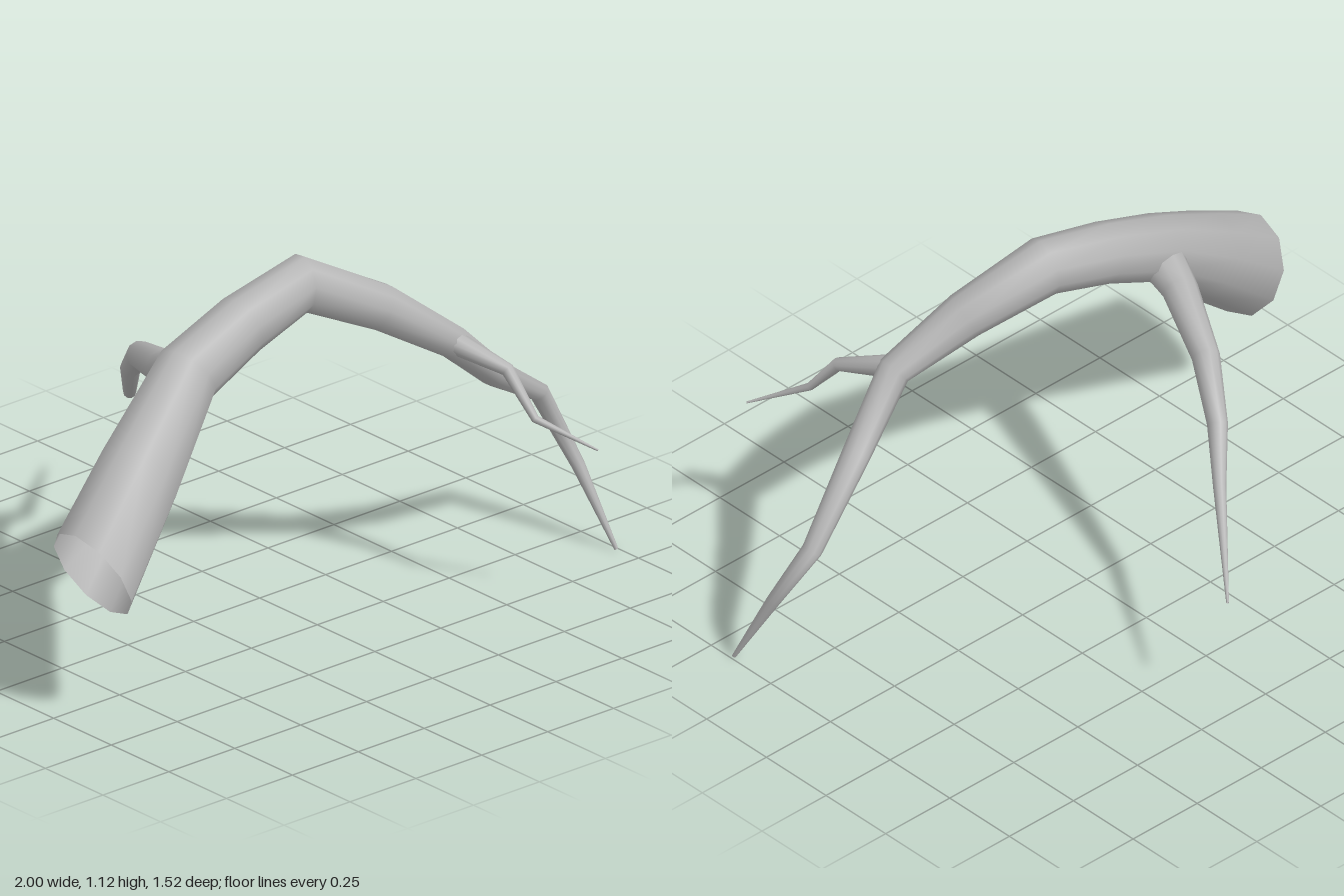
import * as THREE from 'three';

const SIDES = 10;

// Tapered limb: one ring per [x, y, z, radius], mitred at each bend.
function limbGeometry(rows, startDir) {
  const pts = rows.map(([x, y, z]) => new THREE.Vector3(x, y, z));
  const last = pts.length - 1;
  const dirs = pts.slice(1).map((p, i) => p.clone().sub(pts[i]).normalize());
  const positions = [];
  const indices = [];
  const up = new THREE.Vector3(0, 1, 0);

  pts.forEach((p, i) => {
    const t = i === 0 ? startDir.clone()
      : i === last ? dirs[last - 1].clone()
      : dirs[i - 1].clone().add(dirs[i]);
    t.normalize();
    // carry the ring frame along the limb without twisting
    const u = up.clone().addScaledVector(t, -up.dot(t)).normalize();
    const v = t.clone().cross(u);
    up.copy(u);
    for (let j = 0; j < SIDES; j++) {
      const a = (j / SIDES) * Math.PI * 2;
      const q = p.clone()
        .addScaledVector(u, Math.cos(a) * rows[i][3])
        .addScaledVector(v, Math.sin(a) * rows[i][3]);
      positions.push(q.x, q.y, q.z);
    }
  });

  for (let i = 0; i < last; i++) {
    for (let j = 0; j < SIDES; j++) {
      const k = (j + 1) % SIDES;
      const a = i * SIDES + j, b = i * SIDES + k;
      indices.push(a, b, a + SIDES, b, b + SIDES, a + SIDES);
    }
  }

  const geometry = new THREE.BufferGeometry();
  geometry.setAttribute('position', new THREE.Float32BufferAttribute(positions, 3));
  geometry.setIndex(indices);
  geometry.computeVertexNormals();
  return geometry;
}

export function createModel() {
  const group = new THREE.Group();
  group.name = 'branch';
  // open at the thick end, so both faces show
  const bark = new THREE.MeshStandardMaterial({ color: 0xb4b4b4, side: THREE.DoubleSide });
  bark.name = 'grey bark';

  const limbs = {
    // thick arching limb, from the open butt to the drooping tip
    mainLimb: {
      start: [0.9, 0.43, 0],
      rows: [
        [-0.935, 0.465, 0.345, 0.153],
        [-0.68, 0.675, 0.255, 0.128],
        [-0.42, 0.88, 0.165, 0.1],
        [-0.21, 0.97, 0.16, 0.091],
        [0.015, 1.035, 0.163, 0.086],
        [0.24, 0.925, 0.253, 0.07],
        [0.44, 0.785, 0.335, 0.05],
        [0.64, 0.615, 0.28, 0.042],
        [0.89, 0.45, 0.195, 0.03],
        [0.948, 0.24, 0.298, 0.02],
        [0.99, 0.004, 0.415, 0.006],
      ],
    },
    // long side branch toward the back
    backBranch: {
      start: [0, -0.34, -0.94],
      rows: [
        [-0.4, 0.855, 0.09, 0.065],
        [-0.375, 0.835, 0.01, 0.053],
        [-0.27, 0.77, -0.21, 0.041],
        [-0.18, 0.655, -0.355, 0.03],
        [-0.1, 0.525, -0.45, 0.019],
        [0.155, 0.408, -0.757, 0.004],
      ],
    },
    // short twig toward the front
    frontTwig: {
      start: [0.3, -0.2, 1],
      rows: [
        [0.435, 0.79, 0.35, 0.035],
        [0.495, 0.74, 0.51, 0.02],
        [0.512, 0.615, 0.61, 0.012],
        [0.622, 0.534, 0.757, 0.003],
      ],
    },
  };

  for (const [name, { rows, start }] of Object.entries(limbs)) {
    const mesh = new THREE.Mesh(limbGeometry(rows, new THREE.Vector3(...start)), bark);
    mesh.name = name;
    group.add(mesh);
  }
  return group;
}
